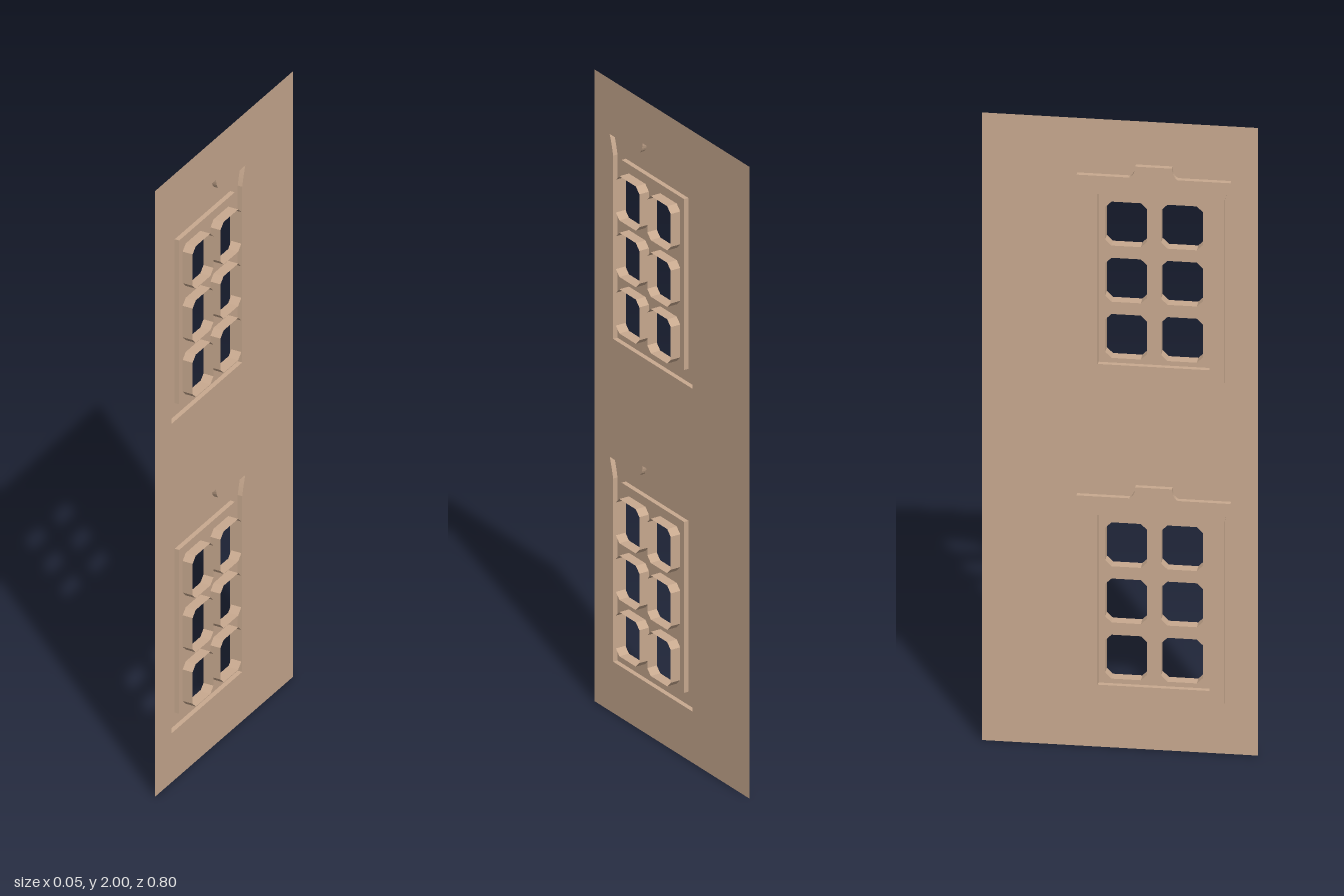
import * as THREE from 'three';

// Depth planes along x: frame recess, wall sheet, outer lip of the panes
const FRAME_X = -0.024, WALL_X = -0.009, LIP_X = 0.024;
const WINDOW_Z = 0.099;
const CURVE_STEPS = 5;

// Shapes are drawn with (z, y) as their two axes
function frameOutline(base) {
  const z = WINDOW_Z, s = new THREE.Shape();
  s.moveTo(z - 0.205, base);
  s.lineTo(z + 0.205, base);
  s.lineTo(z + 0.205, base + 0.58);
  s.quadraticCurveTo(z + 0.212, base + 0.612, z + 0.223, base + 0.642);
  s.lineTo(z + 0.07, base + 0.642);
  s.quadraticCurveTo(z + 0.055, base + 0.65, z + 0.053, base + 0.678);
  s.lineTo(z - 0.053, base + 0.678);
  s.quadraticCurveTo(z - 0.055, base + 0.65, z - 0.07, base + 0.642);
  s.lineTo(z - 0.223, base + 0.642);
  s.quadraticCurveTo(z - 0.212, base + 0.612, z - 0.205, base + 0.58);
  return s;
}

// Rectangle with optional cut corners
function rectOutline(cz, cy, w, h, cut = 0) {
  const s = new THREE.Shape(), a = w / 2, b = h / 2;
  const pts = cut
    ? [[a - cut, -b], [a, cut - b], [a, b - cut], [a - cut, b], [cut - a, b], [-a, b - cut], [-a, cut - b], [cut - a, -b]]
    : [[a, -b], [a, b], [-a, b], [-a, -b]];
  s.setFromPoints(pts.map(([z, y]) => new THREE.Vector2(cz + z, cy + y)));
  return s;
}

// Flat sheet with holes, standing in the plane at x
function sheet(name, outline, holes, x, material) {
  const s = new THREE.Shape(outline.getPoints(CURVE_STEPS));
  s.holes = holes.map(h => new THREE.Path(h.getPoints(CURVE_STEPS)));
  const geo = new THREE.ShapeGeometry(s).rotateY(-Math.PI / 2).translate(x, 0, 0);
  const mesh = new THREE.Mesh(geo, material);
  mesh.name = name;
  return mesh;
}

// Thin band that follows an outline between two depths
function band(name, outline, x0, x1, material) {
  const pts = outline.getPoints(CURVE_STEPS), pos = [];
  pts.forEach((p, i) => {
    const q = pts[(i + 1) % pts.length];
    if (p.distanceTo(q) < 1e-6) return;
    pos.push(x0, p.y, p.x, x1, p.y, p.x, x1, q.y, q.x);
    pos.push(x0, p.y, p.x, x1, q.y, q.x, x0, q.y, q.x);
  });
  const geo = new THREE.BufferGeometry();
  geo.setAttribute('position', new THREE.Float32BufferAttribute(pos, 3));
  geo.computeVertexNormals();
  const mesh = new THREE.Mesh(geo, material);
  mesh.name = name;
  return mesh;
}

function createWindow(base, material) {
  const g = new THREE.Group();
  g.name = 'window';
  const frame = frameOutline(base);
  const panel = rectOutline(WINDOW_Z, base + 0.313, 0.323, 0.541);

  // Frame face and the steps on both of its edges
  g.add(sheet('frame', frame, [panel], FRAME_X, material));
  g.add(band('frameOuterEdge', frame, FRAME_X, WALL_X, material));
  g.add(band('frameInnerEdge', panel, FRAME_X, WALL_X, material));

  // Six open panes, two columns by three rows
  const panes = [];
  for (const dz of [-0.081, 0.081])
    for (let row = 0; row < 3; row++)
      panes.push(rectOutline(WINDOW_Z + dz, base + 0.127 + row * 0.179, 0.121, 0.14, 0.018));
  g.add(sheet('panePanel', panel, panes, WALL_X, material));
  for (const p of panes) g.add(band('paneTunnel', p, WALL_X, LIP_X, material));
  return g;
}

export function createModel() {
  const model = new THREE.Group();
  model.name = 'windowWall';
  const tan = new THREE.MeshStandardMaterial({ color: 0xc8a98f, side: THREE.DoubleSide });
  tan.name = 'tan';

  const bases = [0.162, 1.184];
  const wall = rectOutline(0, 1, 0.8, 2);
  model.add(sheet('wall', wall, bases.map(frameOutline), WALL_X, tan));
  for (const b of bases) model.add(createWindow(b, tan));
  return model;
}
